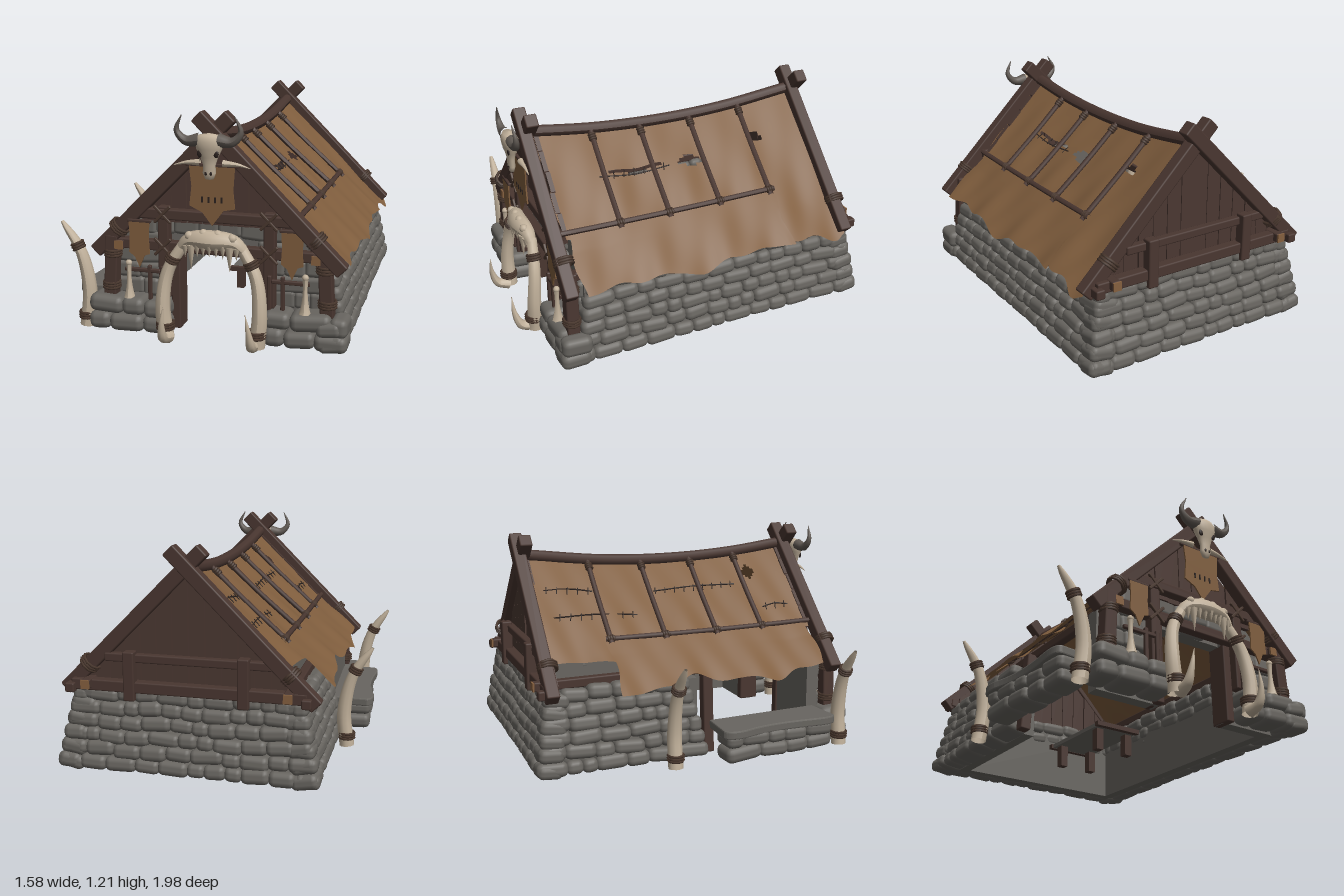
import * as THREE from 'three';
import { mergeGeometries } from 'three/addons/utils/BufferGeometryUtils.js';
import { RoundedBoxGeometry } from 'three/addons/geometries/RoundedBoxGeometry.js';

const mat = (name, color, side = THREE.FrontSide) => {
  const m = new THREE.MeshStandardMaterial({ color, side });
  m.name = name;
  return m;
};
const V = (x, y, z) => new THREE.Vector3(x, y, z);

export function createModel() {
  const model = new THREE.Group();
  model.name = 'hut';
  const stone = mat('stone', 0x686560), wood = mat('dark wood', 0x493630), plank = mat('plank wood', 0x4b3832);
  const cloth = mat('hide cloth', 0x7f5d3d, THREE.DoubleSide), bone = mat('bone', 0xc0b09a, THREE.DoubleSide);
  const horn = mat('horn', 0x5f5852), rope = mat('rope', 0x4a382e), peg = mat('cut wood', 0x85603f);
  const dark = mat('dark hollow', 0x2a211e);
  const C = 0.085; // ridge line x; the house is built around it
  const house = new THREE.Group();
  house.name = 'house';
  house.position.x = C;
  model.add(house);

  let seed = 7;
  const rnd = (a = 0, b = 1) => {
    seed = (seed * 16807) % 2147483647;
    return a + (b - a) * (seed / 2147483647);
  };
  const add = (name, geo, m) => {
    const mesh = new THREE.Mesh(geo, m);
    mesh.name = name;
    house.add(mesh);
    return mesh;
  };
  const box = (name, m, w, h, d, x, y, z) => add(name, new THREE.BoxGeometry(w, h, d), m).position.set(x, y, z);
  // squared timber between two points
  const beam = (name, a, b, w, d = w, m = wood) => {
    const r = add(name, new RoundedBoxGeometry(w, a.distanceTo(b), d, 1, Math.min(0.008, w * 0.3)), m);
    r.position.copy(a).lerp(b, 0.5);
    r.quaternion.setFromUnitVectors(V(0, 1, 0), b.clone().sub(a).normalize());
  };
  // curved tube whose radius follows a rule of t
  const taper = (name, pts, radius, m, seg = 18, sides = 10) => {
    const curve = new THREE.CatmullRomCurve3(pts);
    const g = new THREE.TubeGeometry(curve, seg, 1, sides);
    const p = g.attributes.position, v = V();
    for (let i = 0; i < p.count; i++) {
      const t = Math.floor(i / (sides + 1)) / seg, c = curve.getPointAt(t);
      v.fromBufferAttribute(p, i).sub(c).multiplyScalar(radius(t)).add(c);
      p.setXYZ(i, v.x, v.y, v.z);
    }
    g.computeVertexNormals();
    return add(name, g, m);
  };
  // three rope turns around a timber
  const wrap = (x, y, z, r, dir = V(0, 1, 0)) => {
    const n = dir.clone().normalize();
    for (const k of [-1, 0, 1]) {
      const t = add('ropeWrap', new THREE.TorusGeometry(r, 0.008, 5, 10), rope);
      t.position.set(x, y, z).addScaledVector(n, k * 0.014);
      t.quaternion.setFromUnitVectors(V(0, 0, 1), n);
    }
  };

  // rows of rounded stones from a to b, leaning inward; trim(t) shortens the two ends with height
  function stones(name, a, b, y0, y1, rows, width, depth, lean = 0, trim = () => [0, 0], keep = () => true) {
    const dir = b.clone().sub(a), full = dir.length(), parts = [], rh = (y1 - y0) / rows;
    dir.normalize();
    const inward = V(dir.z, 0, -dir.x), yaw = Math.atan2(-dir.z, dir.x);
    for (let r = 0; r < rows; r++) {
      const t = (r + 0.5) / rows, [from, to] = trim(t), end = full - to;
      for (let s = from; s < end - 0.01;) {
        let w = width * rnd(0.6, 1.4);
        if (end - s - w < width * 0.5) w = end - s;
        const h = rh * rnd(1.02, 1.2), d = depth * rnd(0.93, 1.04);
        const y = y0 + t * (y1 - y0) + (r > 0 ? 0.007 * Math.sin(s * 11 + r * 0.7) : 0);
        const p = a.clone().addScaledVector(dir, s + w / 2).addScaledVector(inward, depth / 2 + lean * t);
        s += w;
        if (!keep(p.x, y, w / 2)) continue;
        const g = new RoundedBoxGeometry(w + 0.008, h, d, 2, Math.min(w, h, d) * 0.4);
        g.rotateZ(rnd(-0.08, 0.08)).rotateX(rnd(-0.06, 0.06) - lean * 2).rotateY(yaw + rnd(-0.05, 0.05));
        g.translate(p.x, Math.max(y, h / 2 + 0.016), p.z);
        parts.push(g);
      }
    }
    add(name, mergeGeometries(parts), stone);
  }

  // stone walls
  stones('rightWall', V(0.70, 0, 0.86), V(0.70, 0, -0.99), 0.02, 0.46, 6, 0.125, 0.14, 0.09,
    t => [t > 0.4 ? 0.1 + 0.07 * t : 0, 0.08 * t]);
  stones('backWall', V(0.70, 0, -0.995), V(-0.70, 0, -0.995), 0.02, 0.45, 6, 0.12, 0.14, 0.075, t => [0.09 * t, 0.09 * t]);
  stones('leftWall', V(-0.70, 0, -0.99), V(-0.70, 0, -0.02), 0.02, 0.46, 6, 0.125, 0.14, 0.09, t => [0.08 * t, 0.1 * t]);
  box('rightWallCore', stone, 0.06, 0.42, 1.5, 0.535, 0.23, -0.08);
  box('leftWallCore', stone, 0.06, 0.42, 0.82, -0.535, 0.23, -0.46);
  box('backWallCore', stone, 1.1, 0.42, 0.06, 0, 0.23, -0.84);
  stones('frontLedgeLeft', V(-0.69, 0, 0.87), V(-0.25, 0, 0.87), 0.02, 0.195, 2, 0.15, 0.17, 0.015);
  stones('frontLedgeRight', V(0.27, 0, 0.87), V(0.7, 0, 0.87), 0.02, 0.195, 2, 0.15, 0.17, 0.015);

  // front wall with doorway
  const wall = new THREE.Shape([[-0.6, 0.02], [-0.215, 0.02], [-0.215, 0.46], [0.215, 0.46], [0.215, 0.02], [0.6, 0.02],
    [0.6, 0.45], [0.43, 0.62], [-0.43, 0.62], [-0.6, 0.45]].map(p => new THREE.Vector2(...p)));
  add('frontWall', new THREE.ExtrudeGeometry(wall, { depth: 0.07, bevelEnabled: false }), stone).position.z = 0.63;
  stones('frontWallStones', V(-0.58, 0, 0.73), V(0.58, 0, 0.73), 0.19, 0.63, 5, 0.13, 0.06, 0, undefined,
    (x, y, h) => Math.abs(x) + h + y < 1.06 && (y > 0.5 || Math.abs(x) - h > 0.19));

  // side counter: uneven slab on rough stones
  const top = new THREE.Shape();
  top.moveTo(-0.62, 0.01).lineTo(-0.82, 0.0).quadraticCurveTo(-0.86, 0.02, -0.845, 0.12);
  top.bezierCurveTo(-0.8, 0.25, -0.8, 0.4, -0.815, 0.55).quadraticCurveTo(-0.83, 0.69, -0.79, 0.69).lineTo(-0.6, 0.67);
  const slabGeo = new THREE.ExtrudeGeometry(top, { depth: 0.03, bevelThickness: 0.008, bevelSize: 0.006, bevelSegments: 2 });
  add('counterSlab', slabGeo.rotateX(Math.PI / 2), stone).position.y = 0.197;
  stones('counterBase', V(-0.845, 0, 0.02), V(-0.8, 0, 0.69), 0.02, 0.17, 2, 0.15, 0.16);

  // crossed rafters at both ends, tie beams and posts
  for (const z of [0.78, -0.88]) for (const s of [1, -1]) {
    beam('rafter', V(-0.085 * s, 1.185, z + s * 0.012), V(0.667 * s, 0.433, z + s * 0.012), 0.075, 0.07);
    wrap(0.53 * s, 0.575, z, 0.05, V(s, -1, 0));
  }
  beam('frontTieBeam', V(-0.43, 0.66, 0.765), V(0.43, 0.66, 0.765), 0.055);
  beam('doorLintel', V(-0.56, 0.485, 0.755), V(0.56, 0.485, 0.755), 0.055);
  beam('backTieBeam', V(-0.62, 0.47, -0.9), V(0.62, 0.47, -0.9), 0.06);
  beam('backCollarBeam', V(-0.44, 0.62, -0.89), V(0.44, 0.62, -0.89), 0.045);
  for (const s of [1, -1]) {
    beam('cornerPost', V(0.59 * s, 0.18, 0.77), V(0.57 * s, 0.53, 0.77), 0.07);
    wrap(0.588 * s, 0.25, 0.77, 0.044);
    wrap(0.575 * s, 0.43, 0.77, 0.044);
    beam('doorPost', V(0.285 * s, 0.2, 0.755), V(0.285 * s, 0.7, 0.755), 0.06);
    beam('doorJamb', V(0.235 * s, 0.02, 0.68), V(0.235 * s, 0.48, 0.68), 0.05, 0.12);
    for (const y of [0.66, 0.485]) for (const k of [1, -1])
      beam('crossLashing', V(0.285 * s - 0.045, y - 0.045 * k, 0.79), V(0.285 * s + 0.045, y + 0.045 * k, 0.79), 0.016, 0.016, rope);
    beam('backPost', V(0.3 * s, 0.4, -0.915), V(0.3 * s, 0.66, -0.915), 0.06);
    beam('wallPlate', V(0.53 * s, 0.48, -0.96), V(0.53 * s, 0.48, 0.8), 0.05);
    for (const z of [0.802, -0.962]) box('plateEnd', peg, 0.046, 0.046, 0.009, 0.53 * s, 0.48, z);
    beam('backEaveBeam', V(0.62 * s, 0.455, -0.96), V(0.62 * s, 0.455, -0.85), 0.05);
  }
  beam('counterPost', V(-0.6, 0.02, 0), V(-0.57, 0.47, 0), 0.06);

  // plank gables cut to the roof slope
  for (const [z, yb, reach] of [[0.71, 0.61, 0.42], [-0.87, 0.42, 0.6]]) {
    const n = Math.round(reach / 0.084), w = reach / n;
    for (let i = -n; i < n; i++) {
      const a = i * w + 0.002, b = (i + 1) * w - 0.002, peak = u => Math.max(yb + 0.01, 1.085 - Math.abs(u));
      const sh = new THREE.Shape([new THREE.Vector2(a, yb), new THREE.Vector2(b, yb), new THREE.Vector2(b, peak(b)), new THREE.Vector2(a, peak(a))]);
      add('gablePlank', new THREE.ExtrudeGeometry(sh, { depth: 0.025, bevelEnabled: false }), plank).position.z = z + rnd(0, 0.01);
    }
  }

  // roof surface: sags along the ridge, straight at the eaves
  const roofY = (u, z) => 1.02 - 0.88 * Math.abs(u) + 0.06 * ((z + 0.05) / 0.8) ** 2 * Math.max(0, 1 - Math.abs(u) / 0.5);
  const onRoof = (u, z, lift = 0) => V(u, roofY(u, z) + lift, z);
  function hide(name, side, u0, u1, z0, z1, lift, jag, torn = () => false) {
    const nu = 32, nz = Math.round((z1 - z0) / 0.016), pos = [], idx = [];
    for (let j = 0; j <= nz; j++) for (let i = 0; i <= nu; i++) {
      const z = z0 + (z1 - z0) * j / nz, t = i / nu;
      const u = u0 + (u1 - u0 + jag * (Math.sin(z * 8 + side) + 0.5 * Math.sin(z * 21)) * 0.5) * t;
      const wave = 0.008 * Math.sin(z * 15 + u * 6) + 0.004 * Math.sin(z * 31 - u * 12);
      pos.push(u * side, roofY(u, z) + lift + wave * (0.3 + t), z + (j === 0 || j === nz ? 0.012 * Math.sin(u * 25) : 0));
      if (i < nu && j < nz && !torn(u, z)) {
        const k = j * (nu + 1) + i;
        idx.push(k, k + nu + 1, k + 1, k + 1, k + nu + 1, k + nu + 2);
      }
    }
    const g = new THREE.BufferGeometry();
    g.setAttribute('position', new THREE.Float32BufferAttribute(pos, 3));
    g.setIndex(side > 0 ? idx : idx.reverse());
    g.computeVertexNormals();
    add(name, g, cloth);
  }
  // narrow pointed tears
  const tear = (u, z, cu, cz, hu, hz) => Math.abs(u - cu) / hu + Math.abs(z - cz) / hz < 1;
  hide('upperHideRight', 1, 0, 0.44, -0.5, 0.74, 0, 0, (u, z) => tear(u, z, 0.2, -0.11, 0.033, 0.09) || tear(u, z, 0.195, 0.22, 0.016, 0.19));
  hide('upperHideLeft', -1, 0, 0.44, -0.5, 0.74, 0, 0, (u, z) => tear(u, z, 0.12, 0.47, 0.04, 0.05));
  hide('rearHideRight', 1, 0, 0.64, -0.86, -0.49, 0.004, 0.09, (u, z) => tear(u, z, 0.16, -0.56, 0.025, 0.05));
  hide('rearHideLeft', -1, 0, 0.51, -0.86, -0.49, 0.004, 0.03);
  hide('lowerHideRight', 1, 0.41, 0.68, -0.52, 0.72, 0.016, 0.03);
  hide('lowerHideLeft', -1, 0.41, 0.67, -0.52, 0.71, 0.016, 0.045);

  // ridge pole and pole lattice
  const zs = [0.78, 0.4, 0, -0.4, -0.88];
  taper('ridgePole', zs.map(z => onRoof(0, z, 0.008)), () => 0.033, wood, 24, 8);
  for (const s of [1, -1]) {
    taper('lowerPole', [0.76, 0.4, 0, -0.53].map(z => onRoof(0.425 * s, z, 0.022)), () => 0.015, wood, 16, 7);
    for (const z of [0.42, 0.13, -0.18, -0.5]) {
      taper('crossPole', [0, 0.2, 0.45].map(u => onRoof(u * s, z, 0.022 - 0.008 * Math.sin(u * 7))), () => 0.015, wood, 8, 7);
      wrap(0.425 * s, roofY(0.425, z) + 0.022, z, 0.015, V(0, 0, 1));
      wrap(0.05 * s, roofY(0.05, z) + 0.02, z, 0.016, V(s, -0.9, 0));
    }
  }
  // seams with cross stitches
  for (const [u, za, zb] of [[0.215, 0.45, 0.03], [-0.3, -0.3, -0.78], [-0.17, -0.52, -0.8], [-0.18, 0.36, -0.16], [-0.32, 0.65, 0.48]]) {
    taper('seam', [za, (za + zb) / 2, zb].map((z, i) => onRoof(u + (i % 2) * 0.012, z, 0.006)), () => 0.004, dark, 8, 4);
    for (let z = za - 0.03; z > zb; z -= 0.06) beam('stitch', onRoof(u - 0.016, z, 0.007), onRoof(u + 0.018, z + 0.012, 0.007), 0.005, 0.005, dark);
  }

  // great tusks beside the counter
  for (const z of [0.77, -0.25]) {
    taper('sideTusk', [V(-0.74, 0.005, z), V(-0.72, 0.2, z), V(-0.765, 0.42, z), V(-0.87, 0.58, z)], t => 0.042 * Math.sqrt(1 - t * t * 0.96), bone);
    wrap(-0.738, 0.065, z, 0.042);
    wrap(-0.78, 0.45, z, 0.033, V(-0.45, 1, 0));
  }
  // doorway tusks, lower horns and jaw
  for (const s of [1, -1]) {
    taper('doorTusk', [V(0.245 * s, 0.02, 0.87), V(0.26 * s, 0.2, 0.87), V(0.235 * s, 0.38, 0.85), V(0.15 * s, 0.53, 0.83)], t => 0.044 - 0.016 * t, bone);
    taper('lowerTusk', [V(0.23 * s, 0.03, 0.88), V(0.235 * s, 0.05, 0.945), V(0.23 * s, 0.13, 0.978), V(0.215 * s, 0.23, 0.985)], t => 0.036 * (1 - t * 0.97), bone);
    wrap(0.245 * s, 0.09, 0.875, 0.044);
    wrap(0.21 * s, 0.445, 0.843, 0.034, V(-0.5 * s, 1, 0));
  }
  taper('jawBone', [-0.165, -0.12, 0, 0.12, 0.165].map((x, i) => V(x, [0.51, 0.55, 0.56, 0.55, 0.51][i], 0.835 + 0.02 * (1 - Math.abs(x) * 6))),
    t => 0.026 + 0.026 * Math.sin(t * Math.PI), bone);
  for (let i = -4; i <= 4; i++) {
    const len = Math.abs(i) === 3 ? 0.13 : 0.065, ai = Math.abs(i);
    const t = add('tooth', new THREE.ConeGeometry(ai === 3 ? 0.023 : 0.018, len, 7), bone);
    t.rotation.x = Math.PI;
    t.position.set(i * 0.034, 0.545 - len / 2 - ai * 0.004, 0.885 - ai * 0.006);
    if (i % 2) add('jawKnob', new THREE.SphereGeometry(0.024, 8, 6), bone).position.set(i * 0.038, 0.602 - ai * 0.008, 0.86);
  }

  // horned skull
  const skullProfile = [[0, 0.875], [0.022, 0.88], [0.034, 0.91], [0.032, 0.95], [0.046, 0.99], [0.066, 1.03], [0.075, 1.07], [0.055, 1.1], [0, 1.11]];
  const skull = add('skull', new THREE.LatheGeometry(skullProfile.map(p => new THREE.Vector2(...p)), 18), bone);
  skull.scale.z = 0.6;
  skull.position.z = 0.87;
  for (const s of [1, -1]) {
    taper('skullHorn', [V(0.05 * s, 1.075, 0.87), V(0.12 * s, 1.07, 0.875), V(0.165 * s, 1.12, 0.88), V(0.135 * s, 1.2, 0.89)], t => 0.035 * (1 - t * 0.95), horn);
    for (const [n, x, y, z, r] of [['eyeSocket', 0.042, 1.01, 0.892, 0.016], ['nostril', 0.013, 0.91, 0.888, 0.008]]) {
      const e = add(n, new THREE.SphereGeometry(r, 10, 8), dark);
      e.position.set(x * s, y, z);
      e.scale.set(0.9, 1.2, 0.4);
    }
    taper('barTip', [V(0.06 * s, 0.955, 0.835), V(0.14 * s, 0.95, 0.835), V(0.2 * s, 0.935, 0.835)], t => 0.018 * (1 - t * 0.9), bone, 8, 8);
  }

  // ragged pointed banners
  function banner(name, x, y, w, h, z) {
    const pts = [[-0.5, 0], [0.5, 0], [0.46, -0.4], [0.5, -0.7], [0.25, -0.74], [0, -1], [-0.22, -0.78], [-0.5, -0.68], [-0.45, -0.35]];
    const sh = new THREE.Shape(pts.map(p => new THREE.Vector2(p[0] * w, p[1] * h)));
    add(name, new THREE.ExtrudeGeometry(sh, { depth: 0.008, bevelEnabled: false }), cloth).position.set(x, y, z);
    beam(name + 'Rod', V(x - w * 0.58, y, z), V(x + w * 0.58, y, z), 0.018);
  }
  banner('gableBanner', 0, 0.94, 0.24, 0.31, 0.825);
  for (const i of [-1.5, -0.5, 0.5, 1.5]) box('bannerMark', dark, 0.008, 0.03, 0.004, i * 0.034, 0.765, 0.835);
  for (const s of [1, -1]) {
    banner('wallBanner', s * 0.41, 0.62, 0.115, 0.25, 0.8);
    // trophy rack with a hanging bone
    beam('rackRail', V(0.3 * s, 0.35, 0.79), V(0.5 * s, 0.35, 0.79), 0.022);
    for (const u of [0.36, 0.29]) beam('rackPost', V(u * s, 0.19, 0.79), V(u * s, 0.38, 0.79), 0.022);
    const u = s > 0 ? 0.48 : -0.47;
    taper('trophyBone', [V(u, 0.2, 0.81), V(u, 0.3, 0.81), V(u, 0.39, 0.81)], t => 0.011 + 0.02 * (1 - t) ** 3 + 0.006 * t ** 6, bone, 12, 8);
    add('boneKnob', new THREE.SphereGeometry(0.018, 8, 6), bone).position.set(u, 0.39, 0.81);
  }

  // long table indoors: stone top on a wooden frame
  box('tableTop', stone, 0.27, 0.022, 0.5, 0.005, 0.15, -0.22);
  for (const z of [-0.47, 0.03]) box('tableRail', wood, 0.29, 0.026, 0.03, 0.005, 0.15, z);
  for (const u of [-0.09, 0.11]) for (const z of [-0.41, -0.03]) box('tableLeg', wood, 0.045, 0.13, 0.045, u, 0.08, z);
  return model;
}
